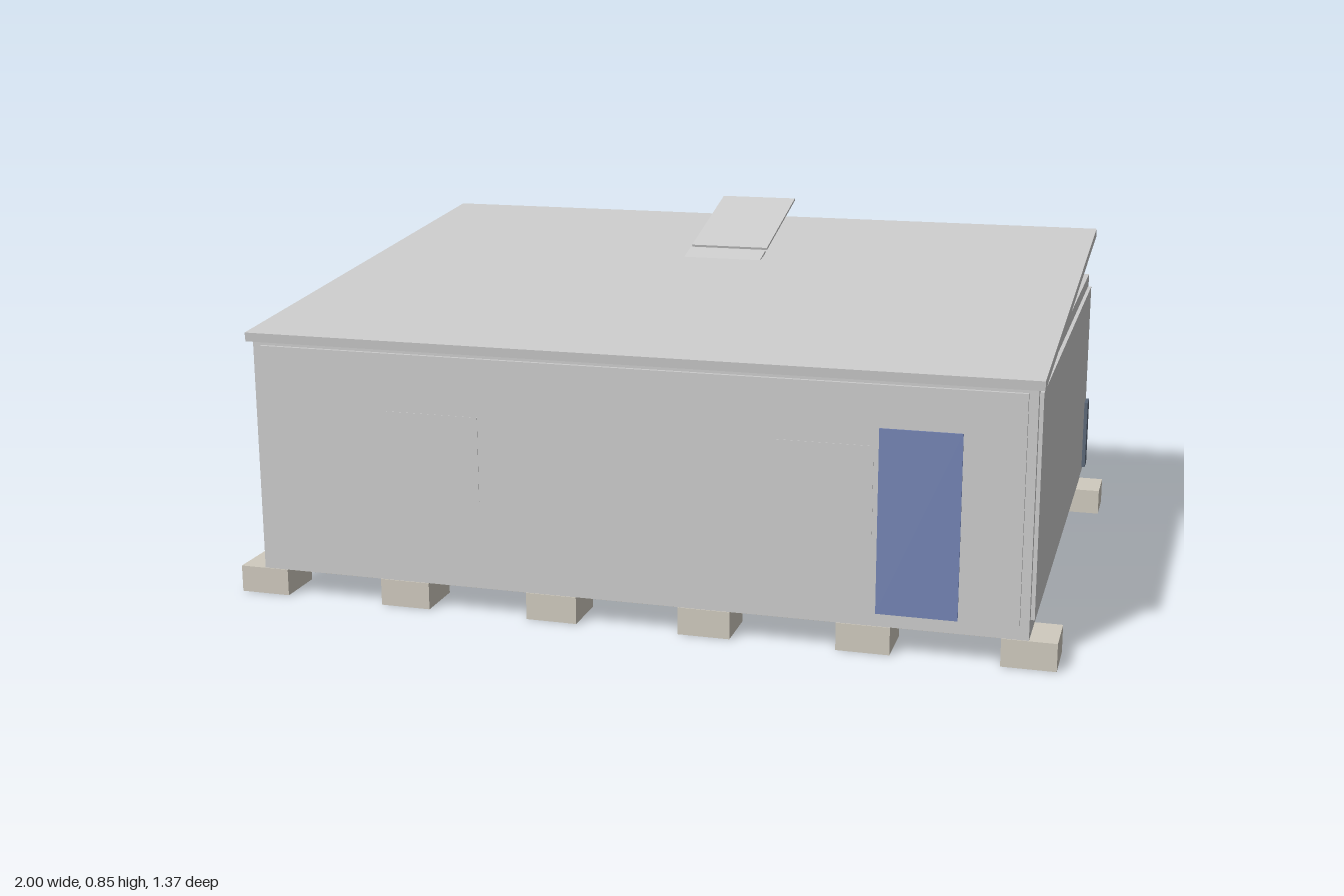
import * as THREE from 'three';

export function createModel() {
  const model = new THREE.Group();
  const mat = (color) => new THREE.MeshStandardMaterial({ color, flatShading: true });
  const grey = mat(0xcccccc);
  const stone = mat(0xcfcabe);
  const floorTone = mat(0xb0a68e);
  const doorBlue = mat(0x7484b4);
  const slate = mat(0x5c6878);

  // Box given by its minimum and maximum corners
  function box(name, [x0, y0, z0], [x1, y1, z1], material = grey, parent = model) {
    const mesh = new THREE.Mesh(new THREE.BoxGeometry(x1 - x0, y1 - y0, z1 - z0), material);
    mesh.position.set((x0 + x1) / 2, (y0 + y1) / 2, (z0 + z1) / 2);
    mesh.name = name;
    parent.add(mesh);
    return mesh;
  }

  // Thin plate whose upper face runs from (z0, y0) to (z1, y1)
  function slopedPlate(name, width, thick, [z0, y0], [z1, y1]) {
    const dz = z1 - z0, dy = y1 - y0;
    const mesh = new THREE.Mesh(new THREE.BoxGeometry(width, thick, Math.hypot(dz, dy)), grey);
    mesh.rotation.x = Math.atan2(dy, -dz);
    mesh.position.set(0, (y0 + y1) / 2 - thick / 2, (z0 + z1) / 2);
    mesh.name = name;
    model.add(mesh);
  }

  // Foundation blocks: six along each long side
  const feet = new THREE.Group();
  feet.name = 'foundationBlocks';
  model.add(feet);
  for (const z of [-0.612, 0.612]) {
    for (let i = 0; i < 6; i++) {
      const x = -0.9375 + i * 0.375;
      box('foundationBlock', [x - 0.0625, 0, z - 0.0625], [x + 0.0625, 0.066, z + 0.0625], stone, feet);
    }
  }

  // Body with floor, ceiling and a raised rim round the top
  const X = 0.936, Z = 0.672;
  box('floor', [-X + 0.005, 0.064, -Z + 0.005], [X - 0.005, 0.08, Z - 0.005], floorTone);
  box('body', [-X, 0.066, -Z], [X, 0.648, Z]);
  for (const s of [-1, 1]) {
    const za = s * Z, zb = s * (Z - 0.02), xa = s * X, xb = s * (X - 0.02);
    box('rimLong', [-X, 0.648, Math.min(za, zb)], [X, 0.66, Math.max(za, zb)]);
    box('rimShort', [Math.min(xa, xb), 0.648, -Z + 0.02], [Math.max(xa, xb), 0.66, Z - 0.02]);
  }

  // Cladding panels, slightly proud of the frame
  for (const s of [-1, 1]) {
    box('longWallPanel', [-0.915, 0.1, s * 0.676 - 0.005], [0.915, 0.63, s * 0.676 + 0.005]);
    box('endWallPanel', [s * 0.94 - 0.005, 0.108, -0.652], [s * 0.94 + 0.005, 0.628, 0.652]);
  }

  // Near-flush windows on the front and back
  box('frontWindow', [-0.59, 0.285, 0.675], [-0.36, 0.49, 0.682]);
  box('frontWindow', [0.35, 0.285, 0.675], [0.58, 0.49, 0.682]);
  box('backWindow', [-0.115, 0.285, -0.683], [0.115, 0.49, -0.675]);

  // Door and wall-mounted cabinet
  box('door', [0.592, 0.1, 0.67], [0.778, 0.532, 0.684], doorBlue);
  box('wallCabinet', [0.935, 0.118, -0.657], [0.954, 0.305, -0.604], slate);

  // Single-pitch roof rising to the back, with a tilted two-part hatch
  slopedPlate('roof', 1.9, 0.022, [0.684, 0.661], [-0.684, 0.787]);
  slopedPlate('hatchLowerPlate', 0.21, 0.006, [0.09, 0.668], [-0.25, 0.758]);
  slopedPlate('hatchUpperPlate', 0.21, 0.006, [-0.265, 0.762], [-0.6, 0.852]);

  return model;
}
